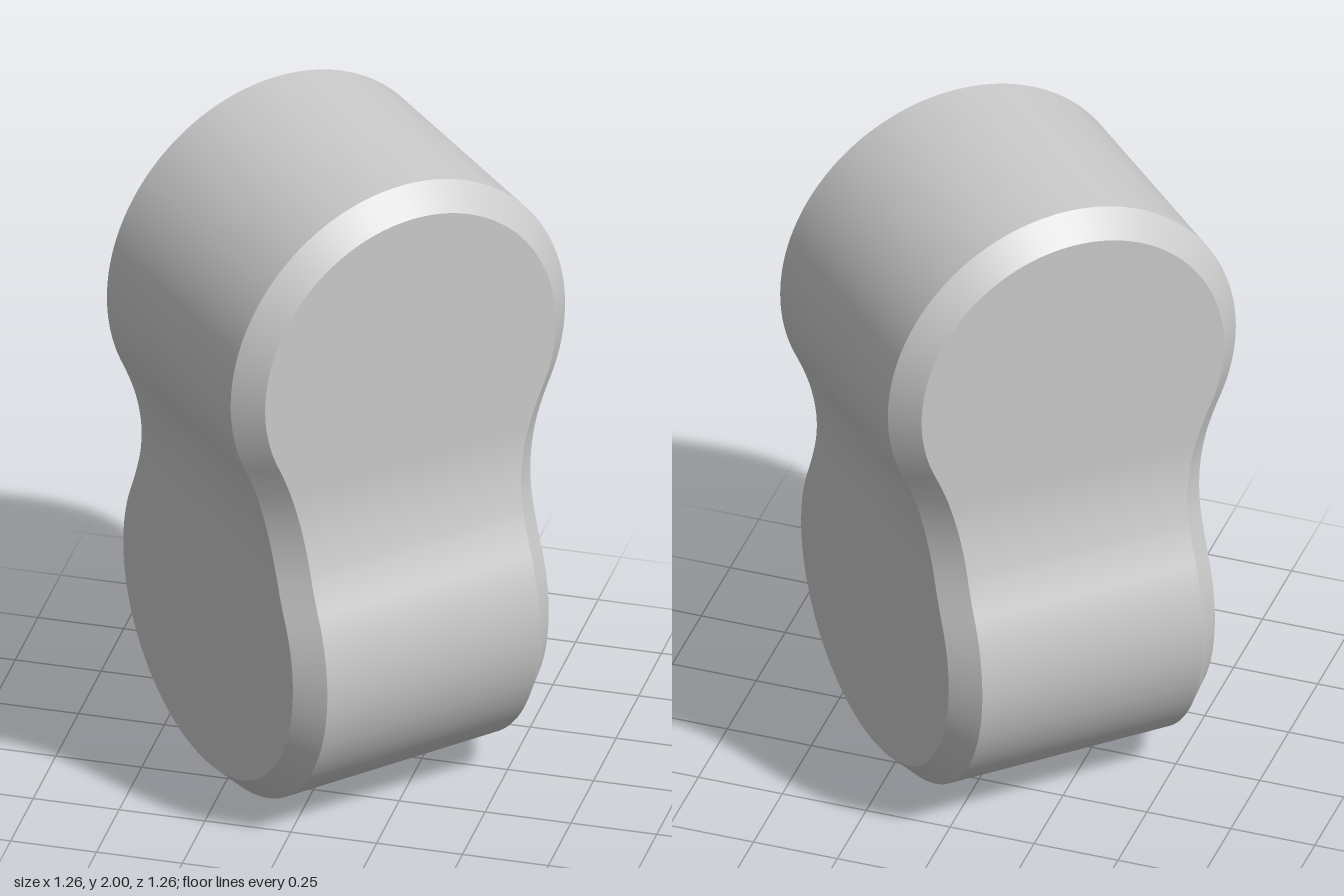
import * as THREE from 'three';

// Two short barrels, one above the other with crossed axes, blended at the neck.
// u and v are the horizontal axes of the upper and lower barrel (diagonal in x and z).
const R = 0.545;       // barrel radius
const T = 0.417;       // half length of a barrel
const C = 0.071;       // chamfer
const TOP = 1.993;     // crown height
const CENTRE = TOP - R;
const ARC_END = 1.22;  // where the round gives way to the neck
const ARC = 64, NECK = 40;

// Half width and outward normal of the upper barrel's outline at height y
function outline(y) {
  const d = y - CENTRE;
  if (y >= ARC_END) {
    const w = Math.sqrt(Math.max(0, R * R - d * d));
    return { w, n: [w / R, d / R] };
  }
  const d0 = ARC_END - CENTRE;
  const w0 = Math.sqrt(R * R - d0 * d0);
  const length = 2 * (w0 - T) / (-d0 / w0);
  const s = Math.max(0, 1 - (ARC_END - y) / length);
  const slope = 2 * (w0 - T) * s / length;
  const k = Math.hypot(1, slope);
  return { w: T + (w0 - T) * s * s, n: [1 / k, -slope / k] };
}

// Heights from crown to foot, spaced by angle on the rounds
function heights() {
  const end = Math.acos((ARC_END - CENTRE) / R);
  const ys = [];
  for (let i = 0; i < ARC; i++) ys.push(CENTRE + R * Math.cos(end * i / ARC));
  for (let i = 0; i <= NECK; i++) ys.push(ARC_END + (2 - 2 * ARC_END) * i / NECK);
  for (let i = ARC - 1; i >= 0; i--) ys.push(2 - ys[i]);
  return ys;
}

// Both edges of the chamfer in one quarter, as [u, v, y]
function chamferEdges() {
  const a = [], b = [];
  for (const y of heights()) {
    const f = outline(y), g = outline(2 - y);
    a.push([g.w - C * g.n[0], f.w, y + C * g.n[1]]);
    b.push([g.w, f.w - C * f.n[0], y - C * f.n[1]]);
  }
  return { a, b };
}

const mirrored = (edge, su, sv) => edge.map(([u, v, y]) => [u * su, v * sv, y]);

// Surface between two edges with equal point counts
function strip(name, p, q, material) {
  const positions = new Float32Array(p.length * 6), index = [];
  p.forEach((point, i) => [point, q[i]].forEach(([u, v, y], j) => {
    const x = (u + v) / Math.SQRT2, z = (u - v) / Math.SQRT2;
    positions.set([x, y - 0.03 * z, z], i * 6 + j * 3); // slight slope of crown and foot
  }));
  for (let i = 0; i < p.length - 1; i++) {
    const k = 2 * i;
    index.push(k, k + 1, k + 2, k + 1, k + 3, k + 2);
  }
  const geometry = new THREE.BufferGeometry();
  geometry.setAttribute('position', new THREE.BufferAttribute(positions, 3));
  geometry.setIndex(index);
  geometry.computeVertexNormals();
  const mesh = new THREE.Mesh(geometry, material);
  mesh.name = name;
  return mesh;
}

export function createModel() {
  const group = new THREE.Group();
  group.name = 'crossedBarrels';
  const material = new THREE.MeshStandardMaterial({ color: 0xcccccc });
  const { a, b } = chamferEdges();

  // Belt over the crown, running down into the lower barrel's end faces
  const over = (su) => [...mirrored(a, su, 1).reverse(), ...mirrored(a, su, -1).slice(1)];
  group.add(strip('upperBarrelAndLowerEnds', over(1), over(-1), material));

  // Belt under the foot, running up into the upper barrel's end faces
  const under = (sv) => [...mirrored(b, 1, sv), ...mirrored(b, -1, sv).reverse().slice(1)];
  group.add(strip('lowerBarrelAndUpperEnds', under(1), under(-1), material));

  // One continuous chamfer winding round all four quarters
  const loop = (e) => [
    ...mirrored(e, 1, 1), ...mirrored(e, -1, 1).reverse().slice(1),
    ...mirrored(e, -1, -1).slice(1), ...mirrored(e, 1, -1).reverse().slice(1),
  ];
  group.add(strip('chamfer', loop(a), loop(b), material));
  return group;
}
